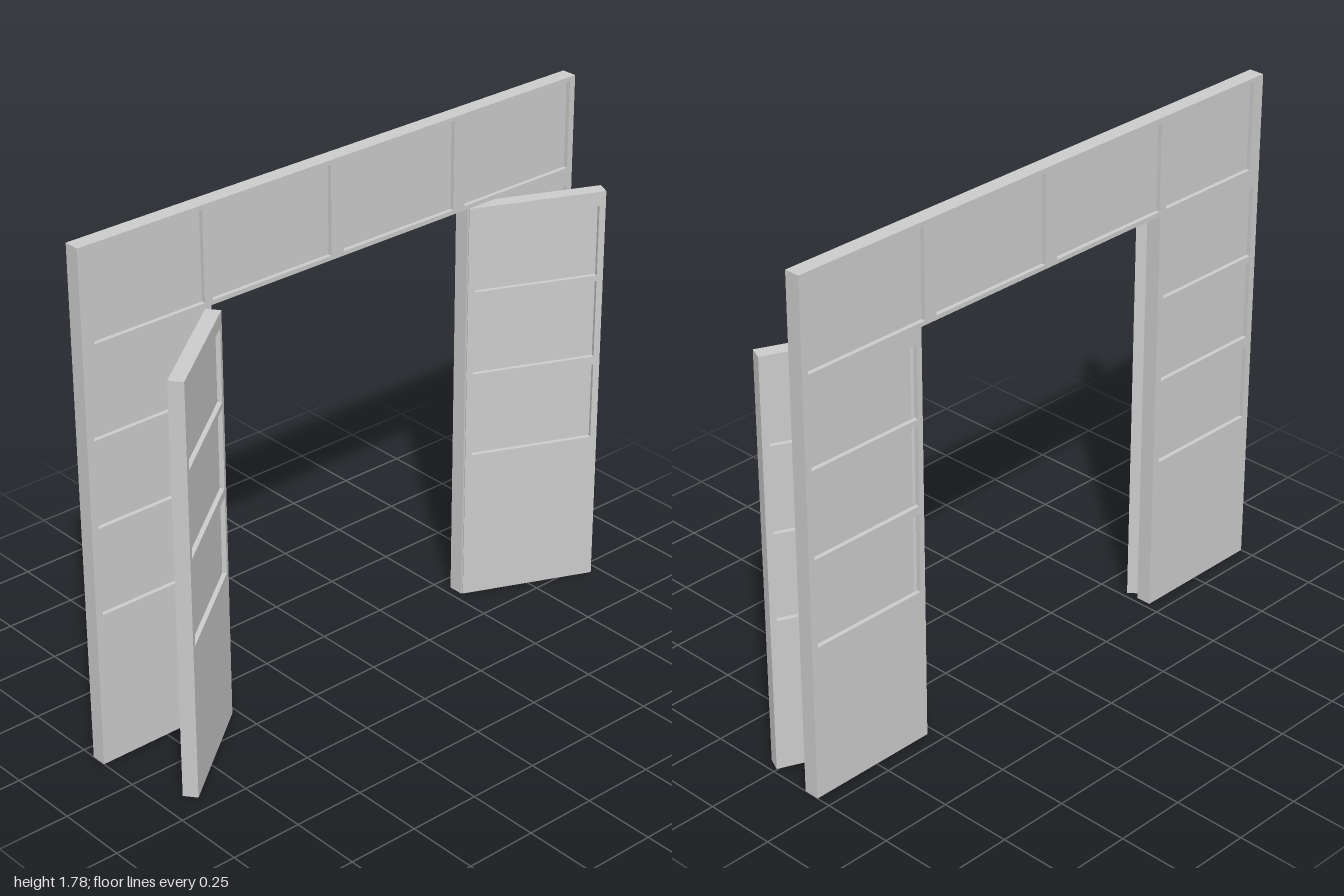
import * as THREE from 'three';

const material = new THREE.MeshStandardMaterial({ color: 0xcccccc });
const RECESS = 0.015;
// bottom and top of the three windows shared by the doors and side panels
const ROWS = [[0.54, 0.815], [0.845, 1.125], [1.145, 1.395]];

function polygon(points, Type = THREE.Shape) {
  return new Type(points.map(([x, y]) => new THREE.Vector2(x, y)));
}

// Flat slab centred on z = 0 with recessed panes; windows are [x0, x1, y0, y1]
function panelledSlab(name, outline, windows, depth) {
  const group = new THREE.Group();
  group.name = name;
  const shape = polygon(outline);
  for (const [x0, x1, y0, y1] of windows) {
    shape.holes.push(polygon([[x0, y0], [x0, y1], [x1, y1], [x1, y0]], THREE.Path));
    const pane = new THREE.Mesh(new THREE.BoxGeometry(x1 - x0, y1 - y0, depth - 2 * RECESS), material);
    pane.name = 'pane';
    pane.position.set((x0 + x1) / 2, (y0 + y1) / 2, 0);
    group.add(pane);
  }
  const geometry = new THREE.ExtrudeGeometry(shape, { depth, bevelEnabled: false });
  geometry.translate(0, 0, -depth / 2);
  const frame = new THREE.Mesh(geometry, material);
  frame.name = 'frame';
  group.add(frame);
  return group;
}

function door(name, x, z, angle) {
  const w = 0.235, m = 0.213;
  const slab = panelledSlab(name,
    [[-w, 0], [w, 0], [w, 1.445], [-w, 1.445]],
    ROWS.map(([y0, y1]) => [-m, m, y0, y1]), 0.05);
  slab.position.set(x, 0, z);
  slab.rotation.y = angle;
  return slab;
}

export function createModel() {
  const model = new THREE.Group();
  model.name = 'doorway';

  // Wall: side panels joined by the header, with the opening between
  const headerWindows = [[-0.955, -0.545], [-0.515, -0.045], [0.005, 0.468], [0.515, 0.977]]
    .map(([x0, x1]) => [x0, x1, 1.46, 1.765]);
  const sideWindows = ROWS.flatMap(([y0, y1]) => [[-0.975, -0.545, y0, y1], [0.55, 0.977, y0, y1]]);
  const wall = panelledSlab('wall',
    [[-1, 0], [-0.52, 0], [-0.52, 1.445], [0.53, 1.445], [0.53, 0], [1, 0], [1, 1.78], [-1, 1.78]],
    [...headerWindows, ...sideWindows], 0.054);
  wall.position.z = -0.172;
  model.add(wall);

  // Doors standing open in front of the side panels
  model.add(door('rightDoor', -0.72, 0.026, 0.664));
  model.add(door('leftDoor', 0.76, -0.069, -0.418));
  return model;
}
